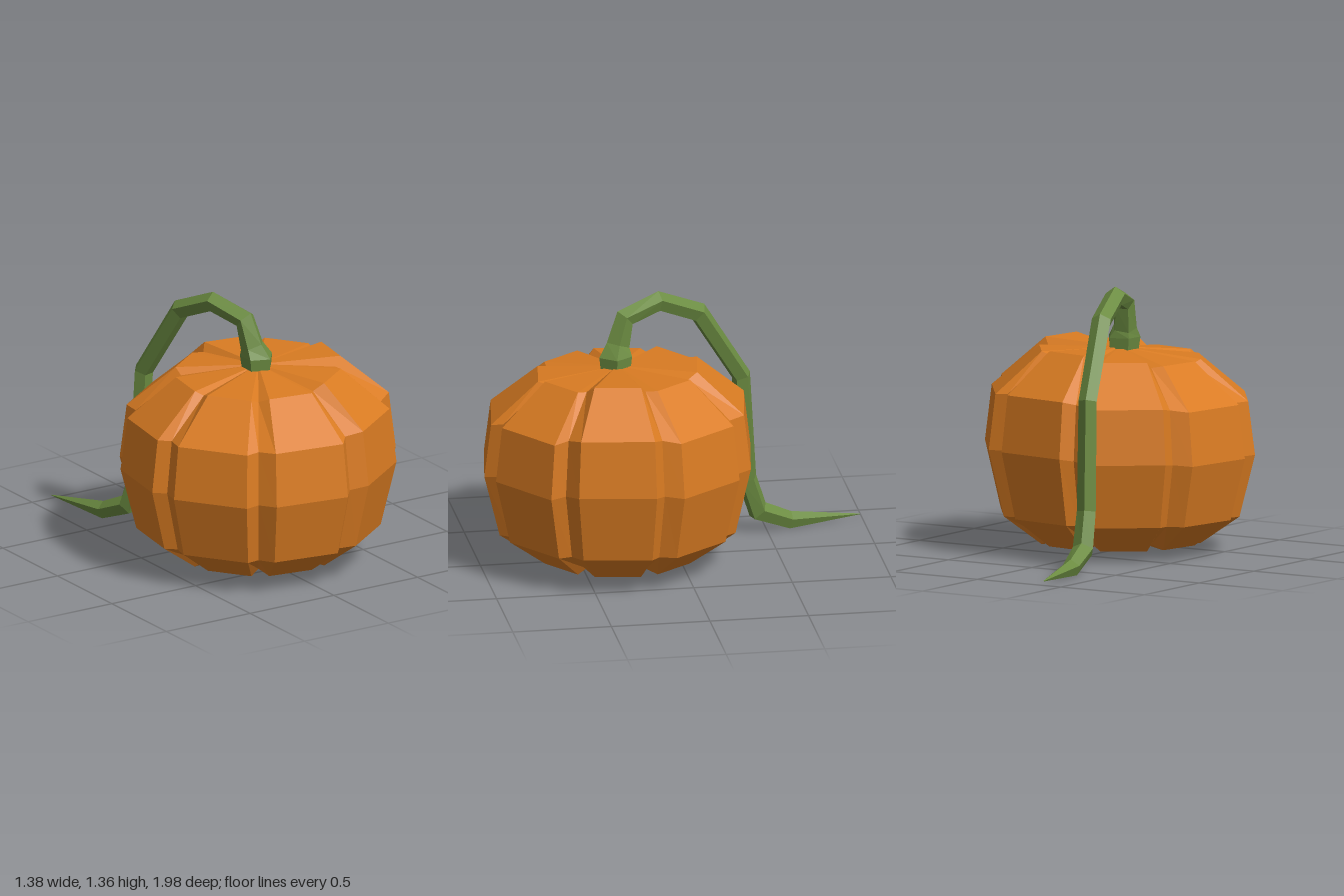
import * as THREE from 'three';

const rind = new THREE.MeshStandardMaterial({ color: 0xd97b22, flatShading: true });
rind.name = 'orange rind';
const vine = new THREE.MeshStandardMaterial({ color: 0x6b8b41, flatShading: true });
vine.name = 'green stem';

// Skins a list of closed rings; each ring runs counter-clockwise about the direction of travel
function loft(rings) {
  const n = rings[0].length;
  const index = [];
  for (let i = 0; i < rings.length - 1; i++) {
    for (let j = 0; j < n; j++) {
      const a = i * n + j, b = i * n + (j + 1) % n;
      index.push(a, b, a + n, b, b + n, a + n);
    }
  }
  let geo = new THREE.BufferGeometry().setFromPoints(rings.flat());
  geo.setIndex(index);
  geo = geo.toNonIndexed();
  geo.computeVertexNormals();
  return geo;
}

// Ribbed body: eight lobes, each with two edges and a groove beside it
function makeBody() {
  // radius, height, how far the lobe's lift raises it, groove sink
  const profile = [
    [0, 0.07, 0, 0], [0.415, 0.05, 0, -0.03], [0.615, 0.19, 0.015, 0], [0.695, 0.505, 0.055, 0],
    [0.66, 0.775, 0.075, 0], [0.415, 0.98, 0.075, 0.02], [0, 1.03, 0, 0],
  ];
  const lifts = [1, 0.5, 0.1, 0, 0, 0.3, 0.75, 0.6];
  const rings = profile.map(([r, y, rise, sink]) => {
    const ring = [];
    for (let k = 0; k < 8; k++) {
      const next = lifts[(k + 1) % 8];
      const columns = [
        [-16.3, 1, lifts[k], 0],
        [16.3, 1, lifts[k], 0],
        [23.8, 0.93, (lifts[k] + next) / 2, sink],
      ];
      for (const [offset, scale, lift, drop] of columns) {
        const a = THREE.MathUtils.degToRad(9 + 45 * k + offset);
        ring.push(new THREE.Vector3(
          Math.cos(a) * r * scale, y + rise * lift - drop, Math.sin(a) * r * scale));
      }
    }
    return ring.reverse();
  });
  const body = new THREE.Mesh(loft(rings), rind);
  body.name = 'pumpkinBody';
  body.position.z = 0.305;
  return body;
}

// Five-sided stem that arches over the back and tapers to a point on the ground
function makeStem() {
  // x, y, z, radius
  const path = [
    [-0.01, 1.02, 0.315, 0.08], [-0.012, 1.08, 0.315, 0.087], [-0.03, 1.13, 0.3, 0.062],
    [-0.05, 1.265, 0.262, 0.054], [-0.12, 1.318, 0.08, 0.052], [-0.18, 1.225, -0.135, 0.052],
    [-0.25, 0.85, -0.365, 0.05], [-0.262, 0.3, -0.395, 0.052], [-0.28, 0.115, -0.455, 0.056],
    [-0.315, 0.045, -0.62, 0.046], [-0.39, 0.028, -0.99, 0.002],
  ];
  const centres = path.map(p => new THREE.Vector3(p[0], p[1], p[2]));
  const side = new THREE.Vector3(0.96, 0, -0.28).normalize();
  const last = path.length - 1;
  const rings = centres.map((c, i) => {
    const before = c.clone().sub(centres[Math.max(i - 1, 0)]).normalize();
    const after = centres[Math.min(i + 1, last)].clone().sub(c).normalize();
    const along = i < 2 ? new THREE.Vector3(0, 1, 0) : before.add(after).normalize();
    const out = side.clone().cross(along).normalize();
    const across = along.clone().cross(out).normalize();
    return Array.from({ length: 5 }, (_, j) => {
      const a = j * Math.PI * 2 / 5;
      return c.clone()
        .addScaledVector(out, Math.cos(a) * path[i][3])
        .addScaledVector(across, Math.sin(a) * path[i][3]);
    });
  });
  const stem = new THREE.Mesh(loft(rings), vine);
  stem.name = 'curvedStem';
  return stem;
}

export function createModel() {
  const model = new THREE.Group();
  model.name = 'pumpkin';
  model.add(makeBody(), makeStem());
  return model;
}
